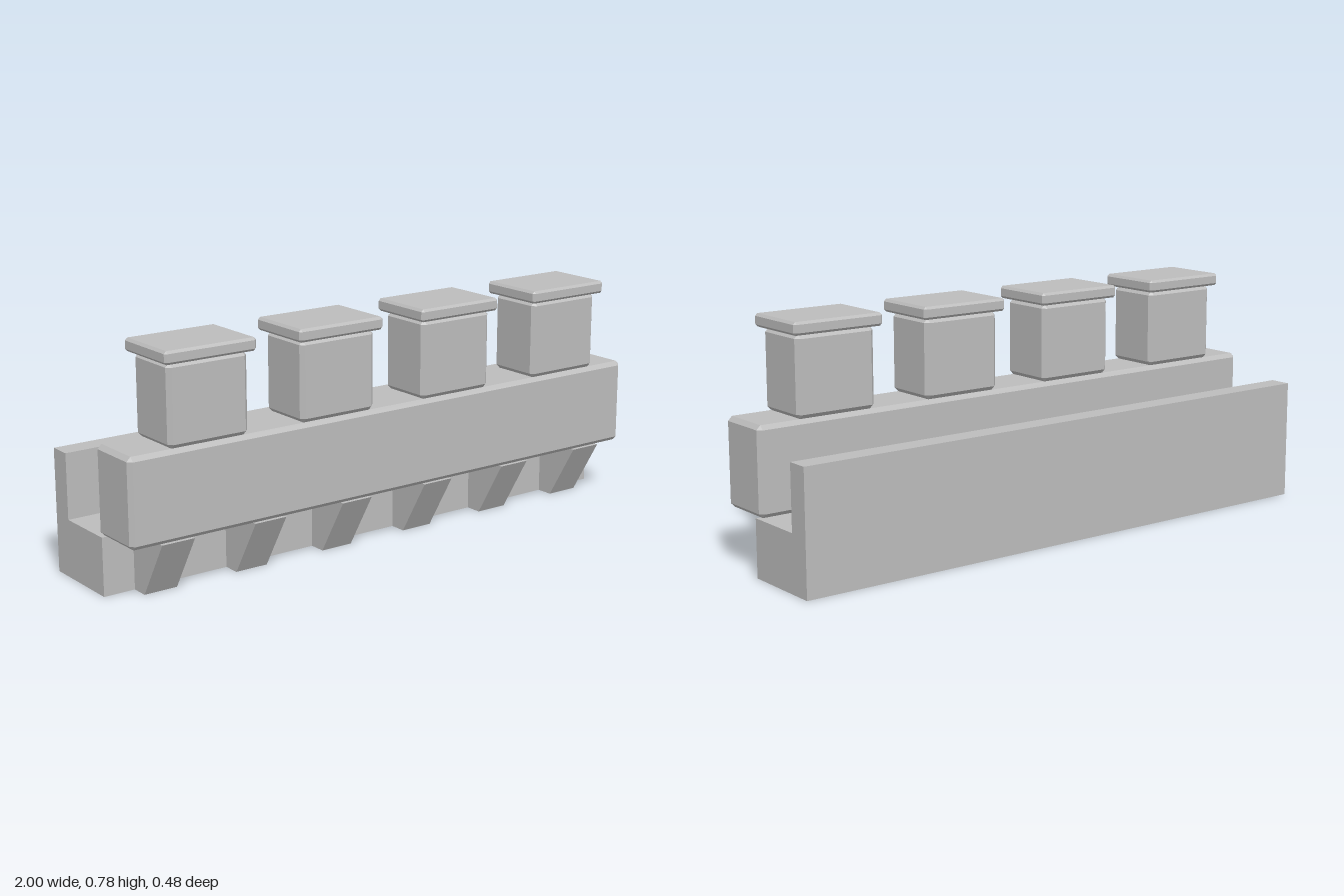
import * as THREE from 'three';
import { ConvexGeometry } from 'three/addons/geometries/ConvexGeometry.js';

// Box with chamfered edges, spanning y0..y1 and z0..z1, centred on x = 0
function chamferBox(width, y0, y1, z0, z1, c) {
  const half = [width / 2, (y1 - y0) / 2, (z1 - z0) / 2];
  const points = [];
  for (const sx of [-1, 1]) for (const sy of [-1, 1]) for (const sz of [-1, 1]) {
    for (let full = 0; full < 3; full++) {
      const p = [sx, sy, sz].map((s, i) => s * (half[i] - (i === full ? 0 : c)));
      points.push(new THREE.Vector3(...p));
    }
  }
  return new ConvexGeometry(points).translate(0, (y0 + y1) / 2, (z0 + z1) / 2);
}

// Side profile of [z, y] points drawn out along x, left open underneath
function openProfile(profile, width) {
  const shape = new THREE.Shape(profile.map(([z, y]) => new THREE.Vector2(z, y)));
  const solid = new THREE.ExtrudeGeometry(shape, { depth: width, bevelEnabled: false });
  solid.translate(0, 0, -width / 2).rotateY(-Math.PI / 2);
  const source = solid.index ? solid.toNonIndexed() : solid;
  const pos = source.attributes.position;
  const kept = [];
  for (let i = 0; i < pos.count; i += 3) {
    const corners = [i, i + 1, i + 2];
    if (corners.every((k) => Math.abs(pos.getY(k)) < 1e-5)) continue;
    for (const k of corners) kept.push(pos.getX(k), pos.getY(k), pos.getZ(k));
  }
  const geometry = new THREE.BufferGeometry();
  geometry.setAttribute('position', new THREE.Float32BufferAttribute(kept, 3));
  geometry.computeVertexNormals();
  return geometry;
}

export function createModel() {
  const model = new THREE.Group();
  model.name = 'battlement';

  const stone = new THREE.MeshStandardMaterial({ color: 0xbcbcbc, side: THREE.DoubleSide });
  stone.name = 'grey stone';

  const add = (name, geometry, x = 0) => {
    const mesh = new THREE.Mesh(geometry, stone);
    mesh.name = name;
    mesh.position.x = x;
    model.add(mesh);
  };

  // Walkway with the low wall at the back
  add('walkway', openProfile([
    [0.047, 0], [0.047, 0.19], [-0.163, 0.19], [-0.163, 0.405], [-0.238, 0.405], [-0.238, 0],
  ], 2));

  // Front parapet
  add('parapet', chamferBox(1.992, 0.19, 0.478, 0.02, 0.218, 0.014));

  // Sloping supports under the parapet
  const corbel = openProfile([[0.047, 0], [0.105, 0], [0.218, 0.19], [0.047, 0.19]], 0.115);
  for (let i = 0; i < 6; i++) add(`corbel${i + 1}`, corbel, (i - 2.5) * 0.334);

  // Merlons and their overhanging caps
  const merlon = chamferBox(0.282, 0.478, 0.74, 0.02, 0.218, 0.014);
  const cap = chamferBox(0.32, 0.74, 0.782, 0, 0.238, 0.008);
  for (let i = 0; i < 4; i++) {
    const x = (i - 1.5) * 0.477;
    add(`merlon${i + 1}`, merlon, x);
    add(`merlonCap${i + 1}`, cap, x);
  }

  return model;
}
